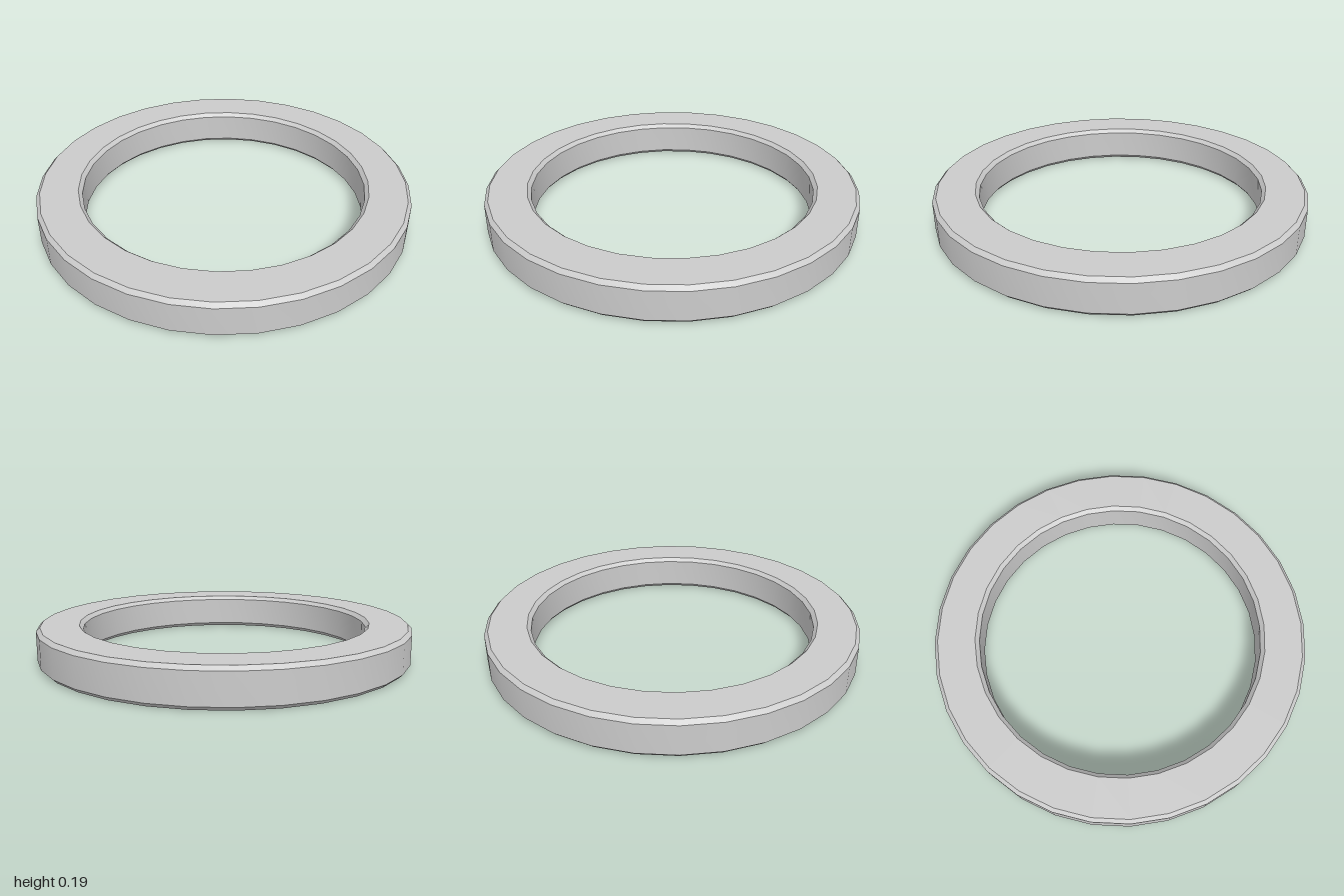
import * as THREE from 'three';
import { toCreasedNormals } from 'three/addons/utils/BufferGeometryUtils.js';

const OUTER = 1, INNER = 0.76, HEIGHT = 0.195, BEVEL = 0.02, SIDES = 32;

export function createModel() {
  const group = new THREE.Group();

  // closed rectangular cross-section with bevelled corners: up the outside, down the inside
  const profile = [
    [OUTER - BEVEL, 0],
    [OUTER, BEVEL],
    [OUTER, HEIGHT - BEVEL],
    [OUTER - BEVEL, HEIGHT],
    [INNER + BEVEL, HEIGHT],
    [INNER, HEIGHT - BEVEL],
    [INNER, BEVEL],
    [INNER + BEVEL, 0],
    [OUTER - BEVEL, 0],
  ].map(([r, y]) => new THREE.Vector2(r, y));

  // smooth around the ring, sharp along the bevel edges
  const geometry = toCreasedNormals(new THREE.LatheGeometry(profile, SIDES), Math.PI / 6);
  const ring = new THREE.Mesh(geometry, new THREE.MeshStandardMaterial({ color: 0xcccccc }));
  ring.name = 'bevelledRing';
  group.add(ring);

  return group;
}
